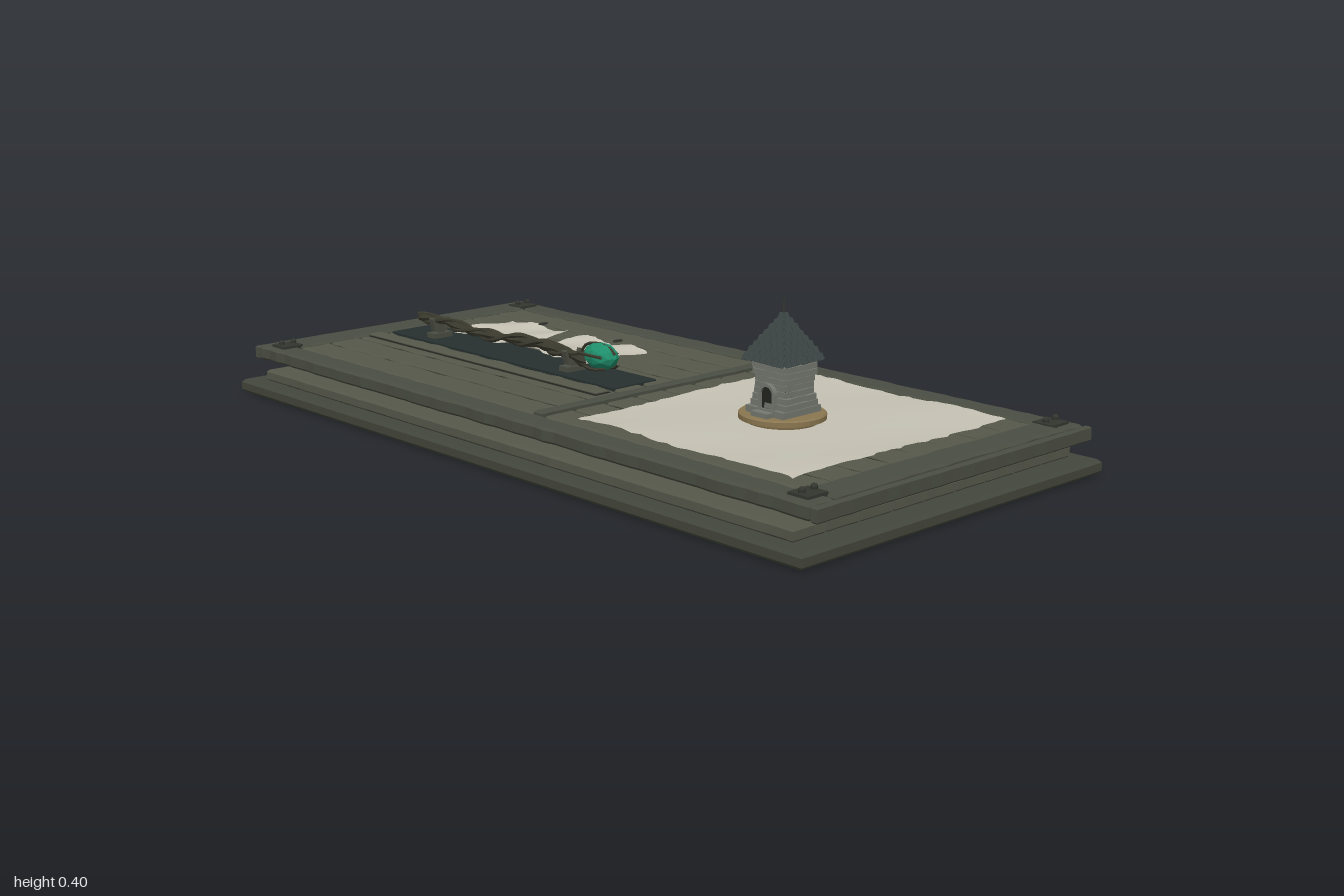
import * as THREE from 'three';

let seed = 7;
const rnd = () => (seed = (seed * 16807) % 2147483647) / 2147483647;
const mat = (color, extra = {}) => {
  const m = new THREE.MeshStandardMaterial({ flatShading: true, ...extra });
  m.color.set(color);
  return m;
};

export function createModel() {
  seed = 7;
  const root = new THREE.Group();
  const M = {
    wood: mat(0x55574a), frame: mat(0x4a4d42), dark: mat(0x23241f), base: mat(0x43463c),
    cloth: mat(0x26302f), paper: mat(0xc4c1b3, { side: THREE.DoubleSide, flatShading: false }),
    gem: mat(0x1f8f6b), brass: mat(0x8a7650), stone: mat(0x74776f), roof: mat(0x3c4644),
    iron: mat(0x33352f), staff: mat(0x3b3a2e),
  };
  const add = (name, geo, m, parent = root, x = 0, y = 0, z = 0) => {
    const mesh = new THREE.Mesh(geo, m);
    mesh.name = name;
    mesh.position.set(x, y, z);
    parent.add(mesh);
    return mesh;
  };
  const group = (name, parent = root, x = 0, y = 0, z = 0) => {
    const g = new THREE.Group();
    g.name = name;
    g.position.set(x, y, z);
    parent.add(g);
    return g;
  };
  const box = (name, w, h, d, m, parent, x, y, z) =>
    add(name, new THREE.BoxGeometry(w, h, d), m, parent, x, y, z);

  // Bevelled board with roughly hewn edges, given by its extents
  const board = (name, x0, x1, y0, y1, z0, z1, m, rough = 0.004, bevel = 0.005, parent = root) => {
    const w = x1 - x0, d = z1 - z0, pts = [];
    const side = (ax, ay, bx, by, nx, ny) => {
      const n = Math.max(1, Math.round(Math.hypot(bx - ax, by - ay) / 0.035));
      for (let i = 0; i < n; i++) {
        const t = i / n, j = i ? rnd() * rough : 0;
        pts.push(new THREE.Vector2(ax + (bx - ax) * t + nx * j, ay + (by - ay) * t + ny * j));
      }
    };
    side(-w / 2, -d / 2, w / 2, -d / 2, 0, 1);
    side(w / 2, -d / 2, w / 2, d / 2, -1, 0);
    side(w / 2, d / 2, -w / 2, d / 2, 0, -1);
    side(-w / 2, d / 2, -w / 2, -d / 2, 1, 0);
    const geo = new THREE.ExtrudeGeometry(new THREE.Shape(pts), {
      depth: y1 - y0 - 2 * bevel, bevelEnabled: true, bevelThickness: bevel,
      bevelSize: bevel, bevelOffset: -bevel, bevelSegments: 1,
    });
    geo.rotateX(-Math.PI / 2);
    return add(name, geo, m, parent, (x0 + x1) / 2, y0 + bevel, (z0 + z1) / 2);
  };

  // Base slab and the lower layer of planks
  board('baseSlab', -1, 1, 0, 0.035, -0.5, 0.5, M.base, 0, 0.008);
  box('lowerCore', 1.86, 0.028, 0.91, M.dark, root, 0, 0.045, 0);
  const lower = group('lowerPlanks');
  for (let i = 0; i < 9; i++) {
    const z = -0.4625 + i * 0.1028;
    board('lowerPlank', -0.94, 0.94, 0.033, 0.064, z + 0.003, z + 0.1, M.wood, 0.002, 0.006, lower);
  }

  // Upper top: dark backing, planks, frame rails and divider
  box('topCore', 1.94, 0.03, 0.86, M.dark, root, 0, 0.096, 0);
  box('hiddenSpacer', 1.7, 0.03, 0.7, M.dark, root, 0, 0.072, 0);
  const planks = group('topPlanks');
  for (let i = 0; i < 8; i++) {
    const z = -0.382 + i * 0.0955;
    board('topPlank', -0.9, 0.9, 0.075, 0.117, z + 0.002, z + 0.092, M.wood, 0.006, 0.004, planks);
  }
  const frame = group('frame');
  for (const s of [-1, 1]) {
    const zs = [s * 0.382, s * 0.453].sort((a, b) => a - b);
    const xs = [s * 0.893, s * 0.978].sort((a, b) => a - b);
    const edge = [s * 0.98, s * 0.998].sort((a, b) => a - b);
    board('longRail', -0.975, 0.975, 0.084, 0.12, zs[0], zs[1], M.frame, 0.006, 0.006, frame);
    board('endRail', xs[0], xs[1], 0.084, 0.123, -0.38, 0.38, M.frame, 0.006, 0.006, frame);
    board('endTrim', edge[0], edge[1], 0.084, 0.119, -0.455, 0.455, M.frame, 0.002, 0.004, frame);
    // Corner plates with round-headed bolts
    for (const t of [-1, 1]) {
      const c = group('cornerPlate', frame, s * 0.925, 0.121, t * 0.402);
      box('plate', 0.055, 0.01, 0.06, M.iron, c, 0, 0, 0);
      for (const dz of [-0.018, 0.018]) {
        add('boltShank', new THREE.CylinderGeometry(0.006, 0.01, 0.01, 8), M.iron, c, 0, 0.006, dz);
        add('boltHead', new THREE.SphereGeometry(0.008, 8, 6), M.iron, c, 0, 0.011, dz);
      }
    }
  }
  board('divider', 0.066, 0.098, 0.075, 0.128, -0.385, 0.385, M.frame, 0.004, 0.004, frame);

  // Cloth runner and the tray strip in front of it
  board('runner', -0.89, 0.012, 0.112, 0.122, -0.05, 0.088, M.cloth, 0, 0.002);
  board('stripShadow', -0.906, 0.028, 0.112, 0.119, 0.113, 0.163, M.dark, 0, 0.002);
  board('strip', -0.9, 0.022, 0.114, 0.125, 0.119, 0.157, M.wood, 0.001, 0.004);

  // Rippled sheet with torn edges
  const sheet = (name, x0, x1, z0, z1, y, amp, n, torn) => {
    const w = x1 - x0, d = z1 - z0;
    const geo = new THREE.PlaneGeometry(w, d, n, n).rotateX(-Math.PI / 2);
    const p = geo.attributes.position;
    for (let i = 0; i < p.count; i++) {
      const u = p.getX(i) / w * 2, v = p.getZ(i) / d * 2;
      if (Math.abs(u) > 0.999) p.setX(i, p.getX(i) - Math.sign(u) * rnd() * torn);
      if (Math.abs(v) > 0.999) p.setZ(i, p.getZ(i) - Math.sign(v) * rnd() * torn);
      const r = Math.max(u * u, v * v);
      p.setY(i, amp * (0.5 + 0.5 * Math.sin(u * 5 + v * 3 + x0 * 9)) * (0.3 + 0.7 * r));
    }
    geo.computeVertexNormals();
    return add(name, geo, M.paper, root, (x0 + x1) / 2, y, (z0 + z1) / 2);
  };
  sheet('map', 0.175, 0.845, -0.36, 0.357, 0.122, 0.006, 32, 0.011);
  [[-0.765, -0.515], [-0.46, -0.205]].forEach(([a, b], i) => {
    sheet('note', a, b, -0.236, -0.017, 0.1235, 0.011, 18, 0.01);
    const ring = add('noteClip', new THREE.TorusGeometry(0.014, 0.0022, 6, 14), M.iron, root,
      [-0.638, -0.333][i], 0.135, -0.238);
    ring.rotation.x = Math.PI / 2;
    ring.scale.x = 0.5;
  });

  // Gnarled staff on two cradles
  const staff = group('staff');
  const strand = (name, phase, radius, spread) => {
    const pts = [];
    for (let i = 0; i <= 26; i++) {
      const t = i / 26, a = t * 17 + phase;
      pts.push(new THREE.Vector3(-0.83 + t * 0.7, 0.163 + 0.005 * Math.sin(t * 11) + spread * Math.sin(a),
        0.036 + 0.006 * Math.sin(t * 8) + spread * Math.cos(a)));
    }
    const curve = new THREE.CatmullRomCurve3(pts);
    const geo = new THREE.TubeGeometry(curve, 70, radius, 6);
    const p = geo.attributes.position, v = new THREE.Vector3();
    for (let i = 0; i < p.count; i++) {
      const k = Math.floor(i / 7) / 70, c = curve.getPointAt(k);
      v.fromBufferAttribute(p, i).sub(c).multiplyScalar(0.75 + 0.45 * k + 0.2 * Math.sin(k * 60 + phase)).add(c);
      p.setXYZ(i, v.x, v.y, v.z);
    }
    add(name, geo, M.staff, staff);
  };
  strand('shaft', 0, 0.011, 0.002);
  strand('vine', 1, 0.006, 0.012);
  strand('vine', 4.1, 0.006, 0.012);
  const gem = add('gem', new THREE.IcosahedronGeometry(0.036, 1), M.gem, staff, -0.098, 0.174, 0.031);
  gem.scale.set(1.5, 0.95, 0.95);
  for (let i = 0; i < 5; i++) {
    const a = i * Math.PI * 0.4 + 0.3;
    const claw = [[-0.17, 0.006], [-0.15, 0.028], [-0.105, 0.038], [-0.062, 0.029], [-0.045, 0.014]]
      .map(([x, r]) => new THREE.Vector3(x, 0.17 + r * 0.9 * Math.sin(a), 0.032 + r * Math.cos(a)));
    add('claw', new THREE.TubeGeometry(new THREE.CatmullRomCurve3(claw.slice(0, i % 2 ? 5 : 4)), 12, 0.004, 5), M.staff, staff);
  }
  for (const x of [-0.745, -0.2]) {
    const c = group('cradle', root, x, 0.12, 0.036);
    box('foot', 0.034, 0.014, 0.06, M.frame, c, 0, 0.008, 0);
    box('post', 0.02, 0.034, 0.02, M.frame, c, 0, 0.022, 0);
    for (const s of [-1, 1]) box('prong', 0.016, 0.034, 0.008, M.frame, c, 0, 0.038, s * 0.022).rotation.x = s * 0.25;
  }

  // Miniature tower on a round stand
  const tower = group('tower', root, 0.505, 0, 0.025);
  const disc = [[0, 0.12], [0.082, 0.12], [0.085, 0.13], [0.1, 0.132], [0.1, 0.143], [0.096, 0.146], [0, 0.146]]
    .map(([r, y]) => new THREE.Vector2(r, y));
  add('stand', new THREE.LatheGeometry(disc, 36), M.brass, tower);
  box('plinth', 0.116, 0.016, 0.124, M.stone, tower, 0.002, 0.153, 0);
  box('doorStep', 0.05, 0.012, 0.026, M.stone, tower, 0.005, 0.151, 0.07);
  box('core', 0.086, 0.12, 0.086, M.dark, tower, 0.005, 0.212, 0);

  // Courses of stone blocks on four sides, flaring at foot and top
  const walls = group('walls', tower, 0.005, 0, 0);
  for (let row = 0; row < 8; row++) {
    const half = 0.046 + (row < 2 ? 0.006 - row * 0.003 : 0) + (row > 4 ? 0.004 : 0);
    const y = 0.168 + row * 0.0142;
    for (let s = 0; s < 4; s++) {
      const face = group('course', walls);
      face.rotation.y = s * Math.PI / 2;
      const cuts = row % 2 ? [-1, -0.45, 0.3, 1] : [-1, -0.2, 0.5, 1];
      for (let i = 0; i < 3; i++) {
        const a = cuts[i] * half, b = cuts[i + 1] * half;
        box('block', b - a - 0.0015, 0.0128, 0.011, M.stone, face, (a + b) / 2, y, half - 0.005 + rnd() * 0.004);
      }
    }
  }

  // Arched door on the front
  const arch = (w, h) => {
    const s = new THREE.Shape();
    s.moveTo(-w, 0);
    s.lineTo(w, 0);
    s.lineTo(w, h);
    s.absarc(0, h, w, 0, Math.PI);
    s.lineTo(-w, 0);
    return s;
  };
  const extrude = (shape, depth) => new THREE.ExtrudeGeometry(shape, { depth, bevelEnabled: false, curveSegments: 8 });
  const surround = arch(0.024, 0.034);
  surround.holes.push(arch(0.017, 0.034));
  add('doorSurround', extrude(surround, 0.016), M.stone, tower, 0.005, 0.16, 0.044);
  add('door', extrude(arch(0.018, 0.034), 0.011), M.dark, tower, 0.005, 0.16, 0.044);

  // Pyramid roof with overlapping shingles and a spire
  const roof = group('roof', tower, -0.001, 0.268, 0);
  const half = 0.066, height = 0.108;
  const pyramid = new THREE.ConeGeometry(half * Math.SQRT2, height, 4, 1).rotateY(Math.PI / 4);
  add('roofCore', pyramid, M.roof, roof, 0, height / 2, 0);
  const slope = Math.atan2(half, height);
  for (let s = 0; s < 4; s++) {
    const face = group('roofSide', roof);
    face.rotation.y = s * Math.PI / 2;
    for (let row = 0; row < 8; row++) {
      const t = (row + 0.45) / 8.4, h = half * (1 - t), n = Math.max(1, 7 - row), w = 2 * h / n;
      for (let i = 0; i < n; i++) {
        const tile = box('shingle', w * 0.93, 0.0165, 0.003, M.roof, face,
          -h + (i + 0.5) * w, t * height - rnd() * 0.003, h + 0.0015);
        tile.rotation.x = -slope + 0.1;
      }
    }
  }
  add('spire', new THREE.CylinderGeometry(0.002, 0.004, 0.045, 6), M.iron, roof, 0, 0.114, 0);
  return root;
}
